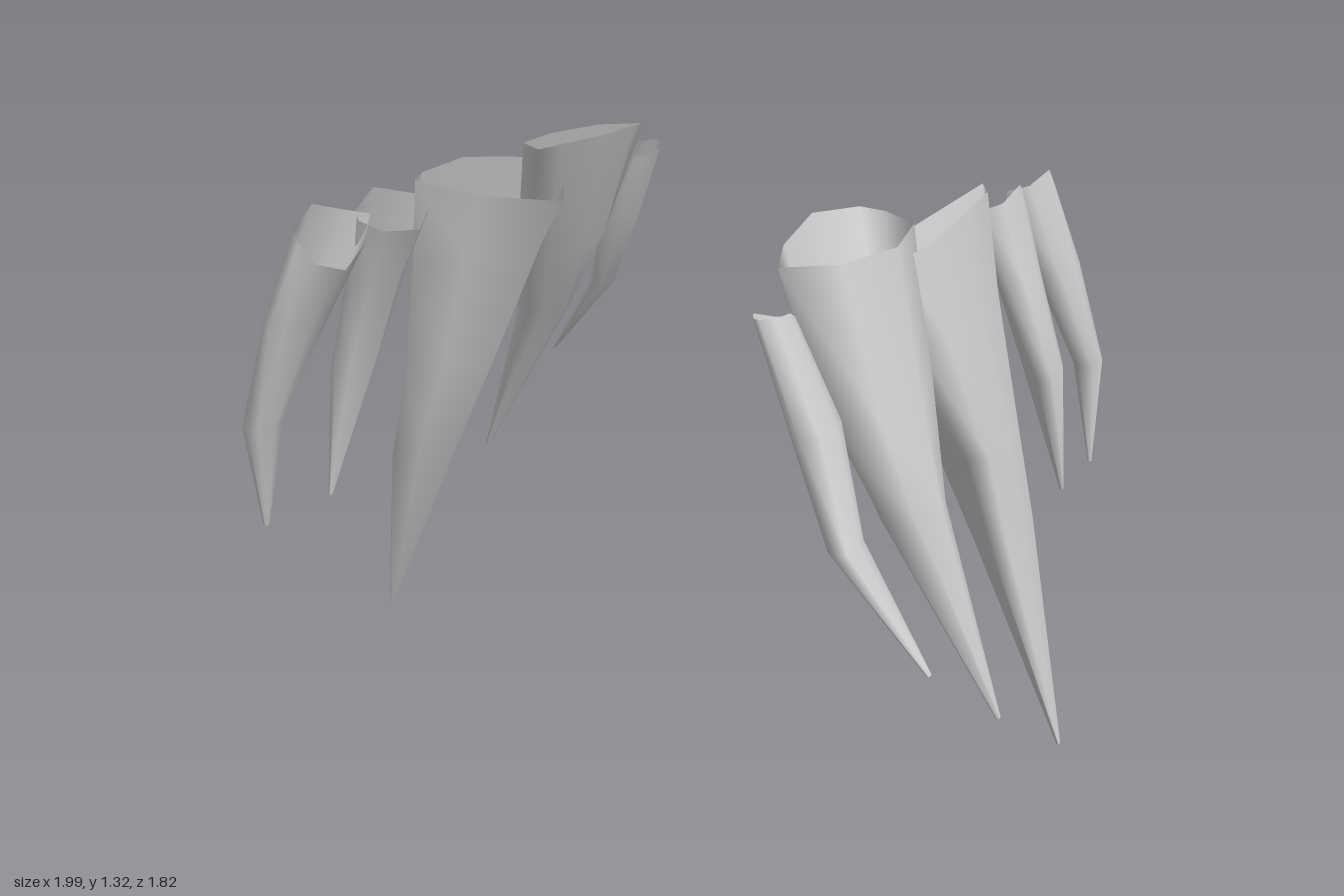
import * as THREE from 'three';

const SIDES = 8;
const TIP = 0.01;

const material = new THREE.MeshStandardMaterial({ color: 0xcccccc, side: THREE.DoubleSide });

// Open-topped hollow spike lofted through its rings down to a tip [y, z, x].
// Ring: [y, zFront, zBack, xOuter, xInner].
// rim: height offsets of the mouth at its [front, back, inner] points.
// lean: how far the front and back edges sit towards the outer side.
// skew: z shift of the mouth's inner corner, fading out towards the tip.
function makeSpike(name, { rim, lean, skew, tip: [tipY, tipZ, tipX], rings }) {
  const sections = [...rings, [tipY, tipZ + TIP, tipZ - TIP, tipX + TIP / 2, tipX - TIP / 2]];
  const positions = [], index = [];
  sections.forEach(([y, zF, zB, xO, xI], r) => {
    const xF = THREE.MathUtils.lerp(xI, xO, lean[0]);
    const xB = THREE.MathUtils.lerp(xI, xO, lean[1]);
    const mid = (xF + xB) / 2;
    const fade = (1 - r / rings.length) ** 2;
    for (let i = 0; i < SIDES; i++) {
      const c = Math.cos((i / SIDES) * Math.PI * 2);
      const s = Math.sin((i / SIDES) * Math.PI * 2);
      // The outer side is round, the inner side comes to a soft corner
      const outer = Math.max(s, 0), inner = Math.max(-s, 0) ** 2;
      const x = mid + (c * (xF - xB)) / 2 + outer * (xO - mid) - inner * (mid - xI);
      const z = (zF + zB) / 2 + (c * (zF - zB)) / 2 + inner * skew * fade;
      const tilt = r > 0 ? 0
        : Math.max(c, 0) * rim[0] + Math.max(-c, 0) * rim[1] + inner * rim[2];
      positions.push(x, y + tilt, z);
      if (r > 0) {
        const j = (i + 1) % SIDES, up = (r - 1) * SIDES, down = r * SIDES;
        index.push(up + i, down + i, down + j, up + i, down + j, up + j);
      }
    }
  });
  const geometry = new THREE.BufferGeometry();
  geometry.setAttribute('position', new THREE.Float32BufferAttribute(positions, 3));
  geometry.setIndex(index);
  geometry.computeVertexNormals();
  const mesh = new THREE.Mesh(geometry, material);
  mesh.name = name;
  return mesh;
}

function makeRow(name) {
  const row = new THREE.Group();
  row.name = name;

  // Largest spike, in the middle of the row
  row.add(makeSpike('centreSpike', {
    rim: [-0.05, 0, -0.12], lean: [0.85, 0.64], skew: 0.13, tip: [0, -0.02, 0.975],
    rings: [
      [1.29, 0.35, -0.3, 0.7, 0.48],
      [1.06, 0.36, -0.26, 0.75, 0.53],
      [0.76, 0.21, -0.2, 0.82, 0.63],
      [0.52, 0.14, -0.2, 0.86, 0.72],
    ],
  }));

  // Second largest spike, in front of the centre
  row.add(makeSpike('secondSpike', {
    rim: [0, 0.01, 0.03], lean: [0.42, 0.4], skew: -0.1, tip: [0.31, 0.51, 0.99],
    rings: [
      [1.29, 0.73, 0.16, 0.7, 0.46],
      [0.98, 0.72, 0.29, 0.79, 0.6],
      [0.76, 0.66, 0.43, 0.86, 0.72],
    ],
  }));

  // Small spikes at both ends
  row.add(makeSpike('frontSmallSpike', {
    rim: [0, -0.03, -0.01], lean: [0.6, 0.5], skew: 0, tip: [0.54, 0.84, 0.95],
    rings: [
      [1.22, 0.87, 0.72, 0.62, 0.54],
      [1, 0.89, 0.72, 0.73, 0.62],
      [0.78, 0.91, 0.78, 0.8, 0.73],
    ],
  }));
  row.add(makeSpike('rearSmallSpike', {
    rim: [-0.04, -0.05, -0.1], lean: [0.65, 0.45], skew: 0.03, tip: [0.49, -0.45, 0.82],
    rings: [
      [1.28, -0.23, -0.52, 0.69, 0.58],
      [1.06, -0.25, -0.49, 0.75, 0.64],
      [0.82, -0.27, -0.46, 0.83, 0.73],
    ],
  }));
  row.add(makeSpike('lastSmallSpike', {
    rim: [-0.04, -0.06, -0.14], lean: [0.4, 0.45], skew: -0.03, tip: [0.49, -0.7, 0.82],
    rings: [
      [1.28, -0.48, -0.74, 0.69, 0.58],
      [1.02, -0.55, -0.78, 0.76, 0.65],
      [0.76, -0.66, -0.78, 0.83, 0.75],
    ],
  }));
  return row;
}

export function createModel() {
  const model = new THREE.Group();
  model.name = 'spikes';
  // The right row is the left row turned half way round
  const rightRow = makeRow('rightRow');
  rightRow.rotation.y = Math.PI;
  model.add(makeRow('leftRow'), rightRow);
  return model;
}
